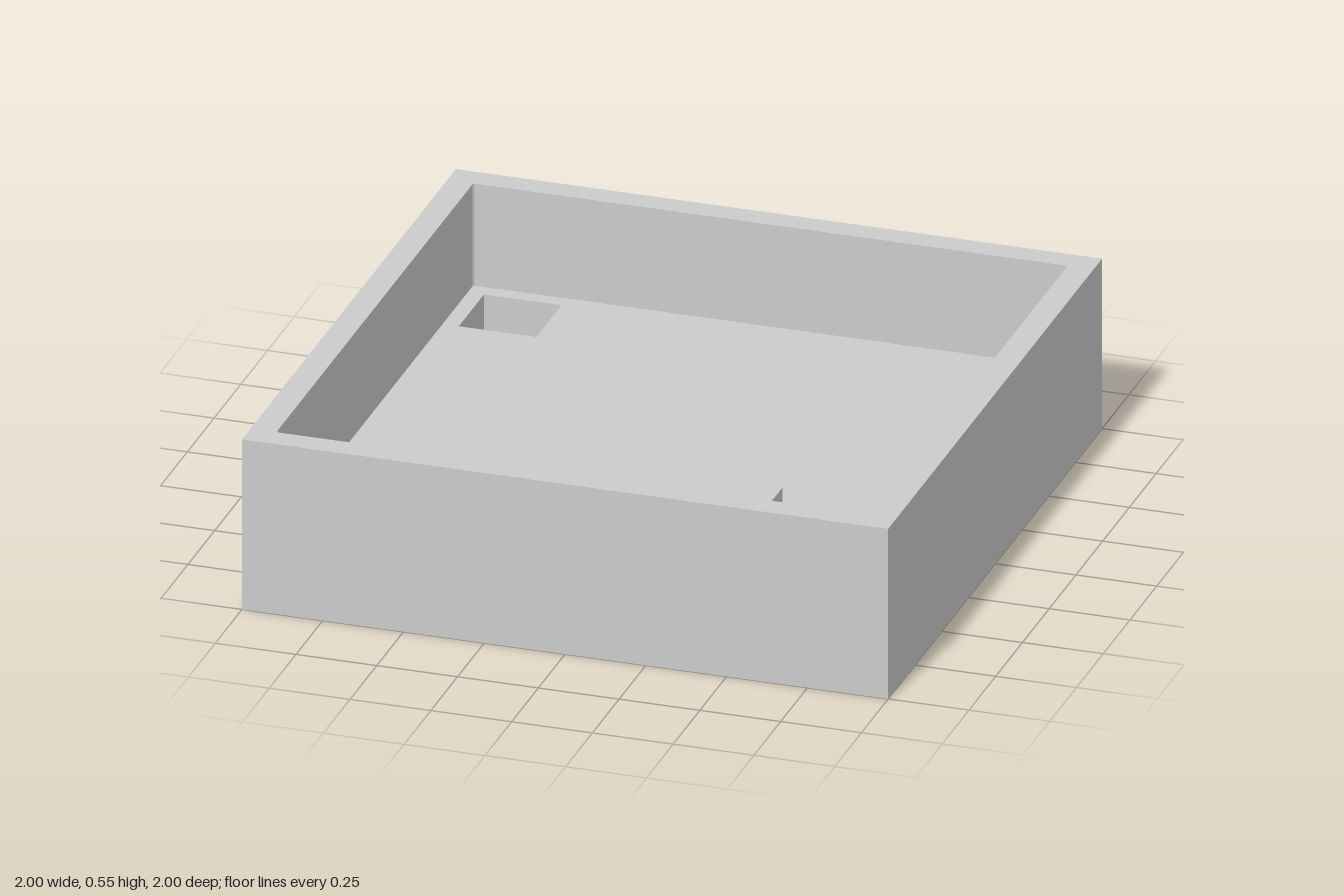
import * as THREE from 'three';

const HEIGHT = 0.55, FLOOR = 0.22, PIT_BOTTOM = 0.07;
const material = new THREE.MeshStandardMaterial({ color: 0xcccccc, flatShading: true });

// Rectangular outline seen from above (counter-clockwise, shape y = -z), optionally rounded
function outline(x0, x1, z0, z1, r = 0) {
  const corners = [[x0, z1, Math.PI], [x1, z1, 1.5 * Math.PI], [x1, z0, 0], [x0, z0, 0.5 * Math.PI]];
  const points = [];
  for (const [x, z, start] of corners) {
    if (!r) { points.push(new THREE.Vector2(x, -z)); continue; }
    const cx = x === x0 ? x + r : x - r, cy = z === z0 ? -z - r : -z + r;
    for (let i = 0; i <= 4; i++) {
      const a = start + (i / 4) * Math.PI / 2;
      points.push(new THREE.Vector2(cx + r * Math.cos(a), cy + r * Math.sin(a)));
    }
  }
  return points;
}

// Horizontal face at height y, with an optional hole
function flat(points, y, hole) {
  const shape = new THREE.Shape(points);
  if (hole) shape.holes.push(new THREE.Path(hole));
  return new THREE.ShapeGeometry(shape).rotateX(-Math.PI / 2).translate(0, y, 0);
}

// Vertical band following an outline; inward bands face the middle
function band(points, y0, y1, inward = false) {
  const loop = inward ? [...points].reverse() : points;
  const positions = [];
  loop.forEach((a, i) => {
    const b = loop[(i + 1) % loop.length];
    const quad = [[a, y0], [b, y0], [b, y1], [a, y0], [b, y1], [a, y1]];
    for (const [p, y] of quad) positions.push(p.x, y, -p.y);
  });
  const geometry = new THREE.BufferGeometry();
  geometry.setAttribute('position', new THREE.Float32BufferAttribute(positions, 3));
  geometry.computeVertexNormals();
  return geometry;
}

export function createModel() {
  const model = new THREE.Group();
  model.name = 'openTray';
  const add = (name, geometry) => {
    const mesh = new THREE.Mesh(geometry, material);
    mesh.name = name;
    model.add(mesh);
    return mesh;
  };

  const outer = outline(-1, 1, -1, 1);
  const inner = outline(-0.92, 0.92, -0.92, 0.92, 0.01);
  const pit = outline(-0.87, -0.63, -0.87, -0.635);

  // Tray shell
  add('outerWalls', band(outer, 0, HEIGHT));
  add('rim', flat(outer, HEIGHT, inner));
  add('innerWalls', band(inner, FLOOR, HEIGHT, true));
  add('underside', flat(outer, 0).rotateX(Math.PI));

  // Floor with the square pit in the back corner
  add('floor', flat(inner, FLOOR, pit));
  add('pitWalls', band(pit, PIT_BOTTOM, FLOOR, true));
  add('pitBottom', flat(pit, PIT_BOTTOM));

  // Upright block standing against the front wall
  const block = add('block', new THREE.BoxGeometry(0.1, 0.2, 0.365));
  block.position.set(0.475, FLOOR + 0.1, 0.7375);

  return model;
}
